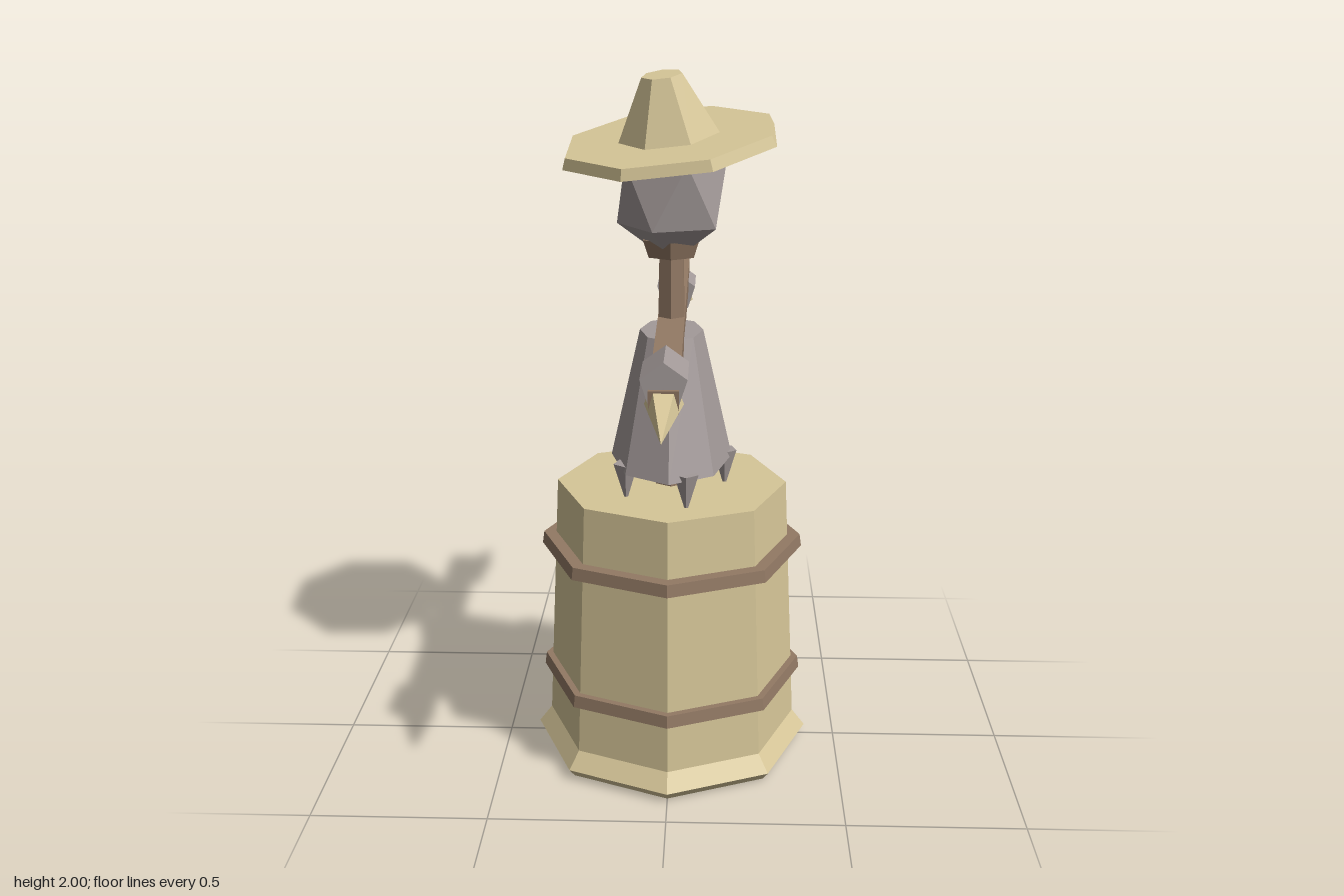
import * as THREE from 'three';

const flat = (name, color) => {
  const m = new THREE.MeshStandardMaterial({ color, flatShading: true });
  m.name = name;
  return m;
};

export function createModel() {
  const straw = flat('straw', 0xd6c698);
  const cloth = flat('grey cloth', 0xa39a99);
  const wood = flat('brown wood', 0x927964);

  const root = new THREE.Group();
  root.name = 'scarecrow';
  const add = (name, geometry, material, x = 0, y = 0, z = 0, parent = root) => {
    const mesh = new THREE.Mesh(geometry, material);
    mesh.name = name;
    mesh.position.set(x, y, z);
    parent.add(mesh);
    return mesh;
  };
  const drum = (top, bottom, height, sides) => new THREE.CylinderGeometry(top, bottom, height, sides);

  // Straw bale with a flared foot
  const profile = [[0, 0], [0.39, 0.005], [0.41, 0.03], [0.372, 0.08], [0.335, 0.83], [0, 0.83]];
  add('bale', new THREE.LatheGeometry(profile.map(([r, y]) => new THREE.Vector2(r, y)), 8), straw);

  // Binding bands
  add('lowerBand', drum(0.383, 0.388, 0.036, 8), wood, 0, 0.247);
  add('upperBand', drum(0.38, 0.385, 0.036, 8), wood, 0, 0.647);

  // Post and collar under the head
  add('post', drum(0.038, 0.052, 0.74, 6), wood, 0, 1.17);
  add('collar', drum(0.09, 0.072, 0.05, 6), wood, 0, 1.525);

  // Smock, oval in plan, with five hanging tatters
  add('smock', drum(0.09, 0.175, 0.375, 8).scale(1, 1, 1.5), cloth, 0, 1.1);
  for (let i = 0; i < 5; i++) {
    const a = (i * Math.PI * 2) / 5;
    const tatter = add('tatter', drum(0.036, 0.006, 0.1, 5), cloth,
      0.155 * Math.cos(a), 0.88, 0.228 * Math.sin(a));
    tatter.rotation.y = -a;
  }

  // Sloping crossbeam
  const beam = add('crossbeam', new THREE.BoxGeometry(0.076, 0.06, 1.24), wood, 0, 1.3, 0);
  beam.rotation.x = 0.067;

  // Cuffs and straw hands at both ends
  for (const s of [1, -1]) {
    const cuff = drum(0.062, 0.062, 0.17, 5).rotateX(-Math.PI / 2);
    add('cuff', cuff, cloth, 0, 1.295, s * 0.525);
    const hand = new THREE.ConeGeometry(0.052, 0.2, 5).rotateX(Math.PI / 2);
    const mesh = add('hand', hand, straw, 0, 1.23, s * 0.675);
    mesh.rotation.set(0.28, s > 0 ? 0 : Math.PI, 0, 'YXZ');
  }

  // Faceted head standing on a point
  const head = new THREE.IcosahedronGeometry(1, 0).rotateZ(-Math.atan(2 / (1 + Math.sqrt(5))));
  add('head', head.scale(0.17, 0.2, 0.182), cloth, 0, 1.68);

  // Tilted hat
  const hat = new THREE.Group();
  hat.name = 'hat';
  hat.position.set(-0.005, 1.815, -0.005);
  hat.rotation.set(0.15, 0, 0.115);
  root.add(hat);
  add('brim', drum(0.3, 0.312, 0.03, 8).rotateY(Math.PI / 8), straw, 0, 0, 0, hat);
  add('crown', drum(0.057, 0.15, 0.18, 7).rotateY(Math.PI), straw, 0, 0.09, -0.01, hat);

  return root;
}
